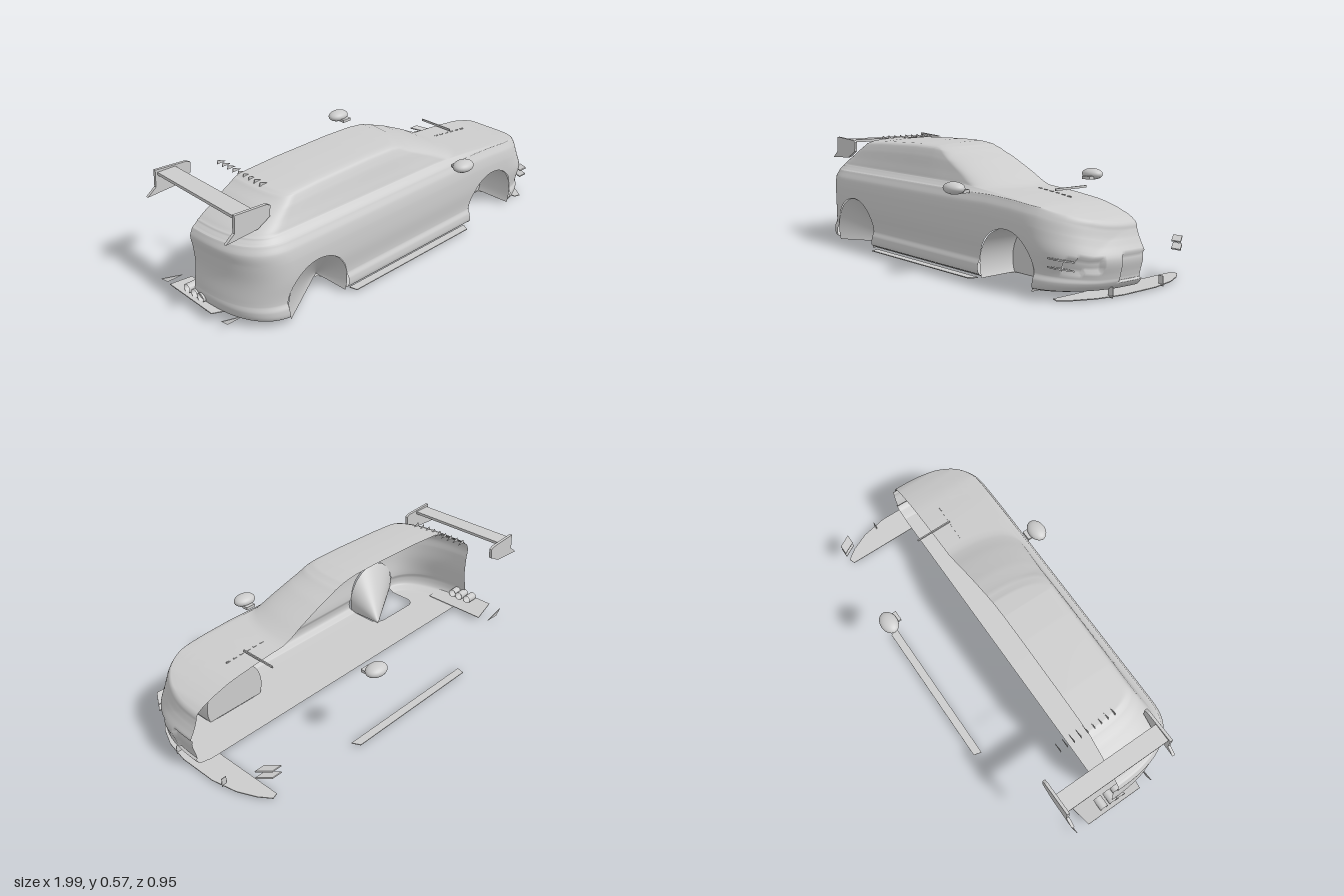
import * as THREE from 'three';

const mat = new THREE.MeshStandardMaterial({ color: 0xcccccc, side: THREE.DoubleSide });
const ARCHES = [-0.6, 0.58], ARCH_Y = 0.09, ARCH_R = 0.17, WELL_Z = 0.2, FLOOR_Y = 0.025;

function add(parent, name, geo, x = 0, y = 0, z = 0) {
  const m = new THREE.Mesh(geo, mat);
  m.name = name;
  m.position.set(x, y, z);
  parent.add(m);
  return m;
}

// Piecewise linear lookup through [x, y] pairs
function lookup(pts, x) {
  if (x <= pts[0][0]) return pts[0][1];
  for (let i = 1; i < pts.length; i++) {
    const [a, b] = [pts[i - 1], pts[i]];
    if (x <= b[0]) return a[1] + (b[1] - a[1]) * (x - a[0]) / (b[0] - a[0]);
  }
  return pts[pts.length - 1][1];
}
const shoulderY = x => lookup([[-0.97, 0.392], [0.25, 0.386], [0.45, 0.388], [0.6, 0.381], [0.75, 0.367],
  [0.85, 0.342], [0.91, 0.32], [0.95, 0.295]], x);
const beltRise = x => lookup([[-0.9, 0.03], [0.2, 0.026], [0.45, 0.012], [0.7, 0.008]], x);
const roofY = x => lookup([[-0.72, 0.553], [-0.5, 0.567], [-0.2, 0.575], [-0.05, 0.573], [0.08, 0.558]], x);

// Body levels: rear x, front x, half width, rear corner length, front corner length, height parameter
// (floor at 0, 0-1 sill to shoulder, 1-2 bonnet, 2-3 cabin)
const LEVELS = [
  [-0.90, 0.89, 0, 0.22, 0.30, 0],
  [-0.91, 0.90, 0.365, 0.22, 0.30, 0],
  [-0.955, 0.955, 0.398, 0.24, 0.30, 0.05],
  [-0.97, 0.98, 0.399, 0.25, 0.30, 0.16],
  [-0.968, 0.985, 0.387, 0.25, 0.30, 0.24],
  [-0.955, 1.0, 0.396, 0.25, 0.30, 0.52],
  [-0.96, 0.968, 0.394, 0.25, 0.30, 0.76],
  [-0.968, 0.952, 0.384, 0.25, 0.29, 0.9],
  [-0.955, 0.94, 0.365, 0.24, 0.28, 1],
  [-0.945, 0.87, 0.355, 0.22, 0.25, 1.2],
  [-0.93, 0.65, 0.343, 0.20, 0.20, 1.6],
  [-0.915, 0.43, 0.332, 0.18, 0.16, 2],
  [-0.85, 0.31, 0.316, 0.15, 0.14, 2.33],
  [-0.78, 0.19, 0.300, 0.12, 0.12, 2.67],
  [-0.725, 0.09, 0.282, 0.10, 0.10, 2.93],
  [-0.70, 0.04, 0.255, 0.09, 0.09, 3],
  [-0.69, 0.01, 0.13, 0.08, 0.08, 3],
  [-0.69, 0.0, 0, 0.08, 0.08, 3],
];

function bodyPoint(L, s) {
  const [xr, xf, w, lr, lf, p] = L;
  const e = 2 / 2.5;
  let x, z = w;
  if (s < 1) {
    const a = s * Math.PI / 2;
    x = xr + lr - lr * Math.max(0, Math.cos(a)) ** e;
    z = w * Math.sin(a) ** e;
  } else if (s <= 2) x = xr + lr + (xf - lf - xr - lr) * (s - 1);
  else {
    const a = (3 - s) * Math.PI / 2;
    x = xf - lf + lf * Math.max(0, Math.cos(a)) ** e;
    z = w * Math.max(0, Math.sin(a)) ** e;
  }
  const h = shoulderY(x), belt = h + beltRise(x);
  let y;
  if (p <= 1) y = FLOOR_Y + (h - FLOOR_Y) * p;
  else if (p <= 2) y = h + (belt - h) * (p - 1);
  else y = belt + (roofY(x) - 0.015 * (z / 0.28) ** 2 - belt) * (p - 2);
  // Sunken front intakes
  const side = z > 0.215 && z < 0.345 && y > 0.12 && y < 0.175;
  const grille = z < 0.12 && y > 0.07 && y < 0.18;
  if (s > 2 && (side || grille)) x -= 0.014;
  return [x, y, z];
}

// Half body shell with floor, trimmed at the wheel arches
function bodyGeometry() {
  const S = [], rows = [];
  for (let i = 0; i <= 24; i++) S.push(i / 24);
  for (let i = 1; i <= 90; i++) S.push(1 + i / 90);
  for (let i = 1; i <= 56; i++) S.push(2 + i / 56);
  const sub = 6, last = LEVELS.length - 1;
  for (let k = 0; k < last; k++) {
    for (let j = 0; j < sub + (k === last - 1 ? 1 : 0); j++) {
      const t = j / sub;
      rows.push(LEVELS[k].map((b, c) => {
        const d = LEVELS[k + 1][c];
        if (c === 5 || k === 0 || k === last - 1) return b + (d - b) * t;
        const a = LEVELS[Math.max(1, k - 1)][c], f = LEVELS[Math.min(last, k + 2)][c];
        return b + 0.5 * t * (d - a + t * (2 * a - 5 * b + 4 * d - f + t * (3 * (b - d) + f - a)));
      }));
    }
  }
  const n = S.length, pos = [], idx = [];
  rows.forEach(r => S.forEach(s => pos.push(...bodyPoint(r, s))));
  for (let r = 0; r < rows.length - 1; r++) for (let i = 0; i < n - 1; i++) {
    const a = r * n + i;
    idx.push(a, a + 1, a + n + 1, a, a + n + 1, a + n);
  }
  const full = new THREE.BufferGeometry();
  full.setAttribute('position', new THREE.Float32BufferAttribute(pos, 3));
  full.setIndex(idx);
  full.computeVertexNormals();
  const nor = full.attributes.normal.array;
  const vert = i => [...pos.slice(i * 3, i * 3 + 3), ...nor.slice(i * 3, i * 3 + 3)];
  const outside = v => Math.max(WELL_Z - v[2],
    Math.min(...ARCHES.map(cx => Math.hypot(v[0] - cx, v[1] - ARCH_Y) - ARCH_R)));
  const P = [], N = [];
  for (let i = 0; i < idx.length; i += 3) {
    const tri = [vert(idx[i]), vert(idx[i + 1]), vert(idx[i + 2])], poly = [];
    tri.forEach((v, j) => {
      const q = tri[(j + 1) % 3], a = outside(v), b = outside(q);
      if (a >= 0) poly.push(v);
      if (a * b < 0) poly.push(v.map((c, m) => c + (q[m] - c) * a / (a - b)));
    });
    for (let j = 1; j + 1 < poly.length; j++) for (const v of [poly[0], poly[j], poly[j + 1]]) {
      P.push(...v.slice(0, 3));
      N.push(...v.slice(3));
    }
  }
  const g = new THREE.BufferGeometry();
  g.setAttribute('position', new THREE.Float32BufferAttribute(P, 3));
  g.setAttribute('normal', new THREE.Float32BufferAttribute(N, 3));
  return g;
}

// Flat plate from 2D points; plan plates lie in x-z, upright ones in x-y
function plate(pts, depth, plan = false) {
  const g = new THREE.ExtrudeGeometry(new THREE.Shape(pts.map(p => new THREE.Vector2(...p))),
    { depth, bevelEnabled: false });
  g.translate(0, 0, -depth / 2);
  if (plan) g.rotateX(Math.PI / 2);
  return g;
}

// Wheel well tube from the arch inwards, open below the floor
function wellGeometry(inner) {
  const geo = new THREE.CylinderGeometry(ARCH_R, inner, 0.388 - WELL_Z, 40, 8, true, Math.PI / 2 - 0.39, Math.PI + 0.78);
  return geo.rotateX(Math.PI / 2).translate(0, 0, (0.388 + WELL_Z) / 2);
}

export function createModel() {
  const g = new THREE.Group();
  g.name = 'carShell';
  add(g, 'body', bodyGeometry());

  // Front well: deep, with a flat inner wall reaching the floor
  add(g, 'frontWell', wellGeometry(0.168), ARCHES[1], ARCH_Y, 0);
  const wall = new THREE.Shape().absarc(0, 0, 0.168, -0.39, Math.PI + 0.39, false);
  add(g, 'frontWellWall', new THREE.ShapeGeometry(wall, 40), ARCHES[1], ARCH_Y, WELL_Z);

  // Rear well: a cone leaning forward and down to the floor
  const cone = wellGeometry(0.002), cp = cone.attributes.position;
  for (let i = 0; i < cp.count; i++) {
    const t = (0.388 - cp.getZ(i)) / (0.388 - WELL_Z);
    cp.setXY(i, cp.getX(i) + 0.15 * t, cp.getY(i) - 0.062 * t);
  }
  cone.computeVertexNormals();
  add(g, 'rearWell', cone, ARCHES[0], ARCH_Y, 0);

  for (const s of [1, -1]) {
    // Mirrors
    add(g, 'mirror', new THREE.SphereGeometry(1, 28, 18), 0.29, 0.406, s * 0.433).scale.set(0.058, 0.028, 0.043);
    add(g, 'mirrorStalk', new THREE.BoxGeometry(0.05, 0.015, 0.035), 0.3, 0.391, s * 0.392);
    // Side skirts
    add(g, 'sideSkirt', plate([[-0.41, s * 0.38], [0.39, s * 0.38], [0.37, s * 0.42], [-0.4, s * 0.42]], 0.004, true), 0, 0.02, 0);
    // Wing end plates
    add(g, 'wingEndPlate', plate([[-0.94, 0.555], [-0.78, 0.545], [-0.76, 0.535], [-0.765, 0.485], [-0.83, 0.45],
      [-0.99, 0.44], [-0.945, 0.475]], 0.014), 0, 0, s * 0.28);
    // Front canards and splitter stays
    for (const y of [0.138, 0.173]) {
      const c = add(g, 'canard', plate([[0.83, s * 0.4], [0.87, s * 0.335], [0.92, s * 0.335], [0.88, s * 0.4]], 0.006, true), 0, y - 0.073, 0);
      c.rotation.x = -s * 0.2;
    }
    add(g, 'splitterStay', new THREE.BoxGeometry(0.025, 0.045, 0.003), 0.955, 0.028, s * 0.157);
  }

  // Rear wing and roof fins
  add(g, 'wingBlade', new THREE.BoxGeometry(0.09, 0.014, 0.56), -0.885, 0.535, 0);
  for (let i = -4; i <= 4; i++)
    add(g, 'roofFin', plate([[-0.705, 0.548], [-0.66, 0.55], [-0.7, 0.567]], 0.003), 0, 0, i * 0.037);

  // Front splitter
  const edge = [[0.975, 0.1], [0.95, 0.23], [0.91, 0.32], [0.87, 0.375], [0.84, 0.365]];
  add(g, 'splitter', plate([...edge, ...edge.map(([x, z]) => [x, -z]).reverse()], 0.004, true), 0, 0.012, 0);

  // Rear diffuser, fins and exhausts
  const panel = add(g, 'diffuser', plate([[-0.065, -0.155], [-0.065, 0.155], [0.065, 0.175], [0.065, -0.175]], 0.004, true), -0.935, 0.04, 0);
  panel.rotation.z = -0.2;
  for (const z of [-0.225, -0.112, 0, 0.112, 0.225])
    add(g, 'diffuserFin', plate([[-1, 0.05], [-0.89, 0.022], [-0.97, 0.02]], 0.004), 0, 0, z);
  for (const z of [-0.05, 0.005, 0.05])
    add(g, 'exhaust', new THREE.CylinderGeometry(0.022, 0.022, 0.06, 24, 1, true).rotateZ(Math.PI / 2), -0.95, 0.072, z);

  // Bonnet vent bar and slats
  add(g, 'bonnetBar', new THREE.BoxGeometry(0.006, 0.01, 0.19), 0.58, 0.4, 0.01);
  for (let i = 0; i < 6; i++)
    add(g, 'bonnetSlat', new THREE.BoxGeometry(0.02, 0.006, 0.006), 0.48 + i * 0.038, 0.396 - i * 0.003, 0.1 + i * 0.002);
  return g;
}
